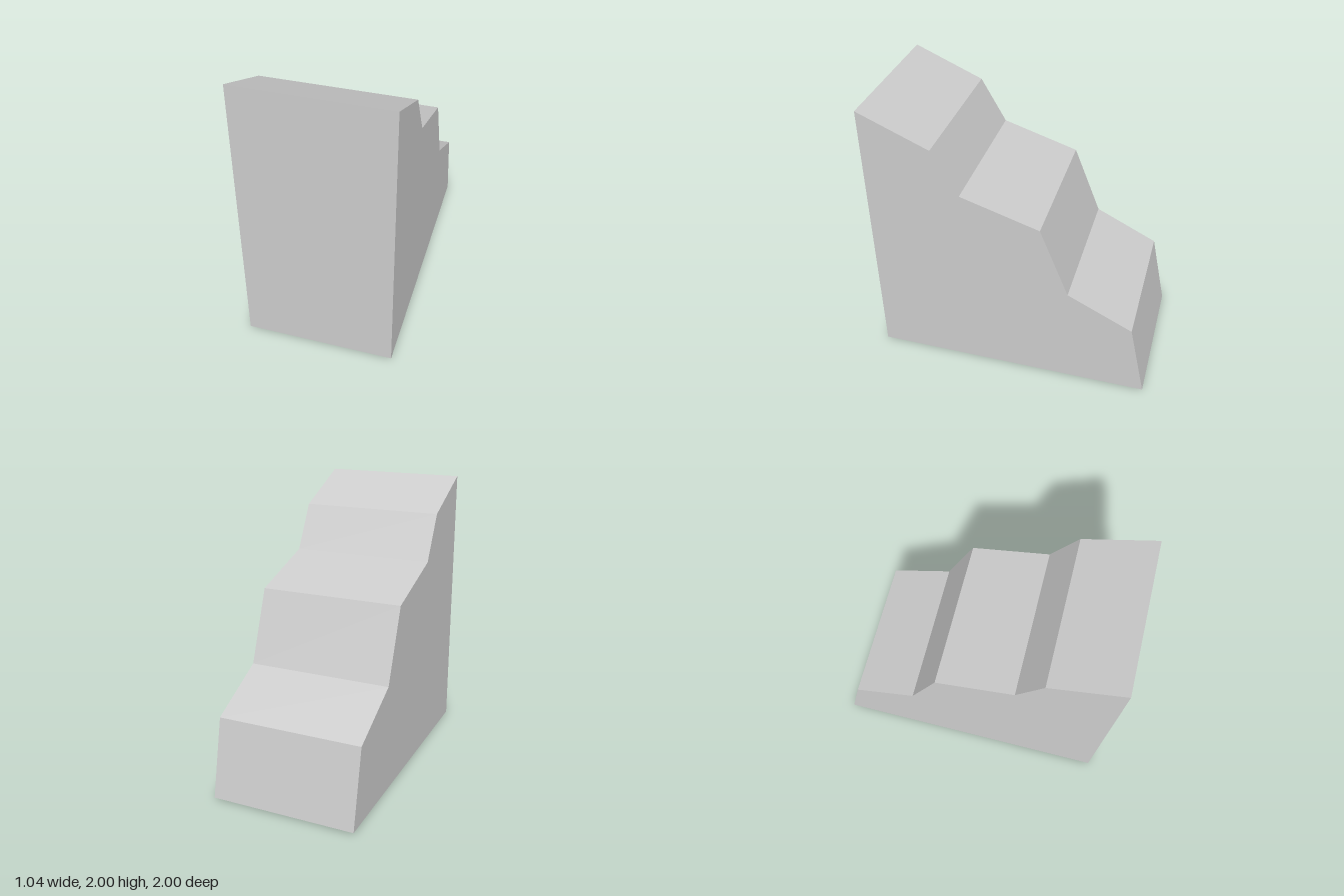
import * as THREE from 'three';
import { mergeGeometries } from 'three/addons/utils/BufferGeometryUtils.js';

// Stepped side profiles as [z, y], from the front foot over the steps to the back foot
const OUTER = [[1, 0], [1, 2], [0.51, 1.79], [0.33, 1.47], [-0.22, 1.3], [-0.42, 0.79], [-0.88, 0.565], [-1, 0.01]];
const INNER = [[0.89, 0], [0.89, 1.83], [0.59, 1.7], [0.4, 1.38], [-0.14, 1.21], [-0.33, 0.71], [-0.82, 0.47], [-0.92, 0]];
const OUTER_HALF = 0.52;
const INNER_HALF = 0.4;

// Flat-shaded quads, corners counter-clockwise from outside
function quads(list) {
  const pos = [];
  for (const [a, b, c, d] of list) pos.push(...a, ...b, ...c, ...a, ...c, ...d);
  const geo = new THREE.BufferGeometry();
  geo.setAttribute('position', new THREE.Float32BufferAttribute(pos, 3));
  geo.computeVertexNormals();
  return geo;
}

// Strip of treads and risers along a profile; a negative half width faces inward
function steps(profile, w) {
  const list = [];
  for (let i = 0; i < profile.length - 1; i++) {
    const [z0, y0] = profile[i], [z1, y1] = profile[i + 1];
    list.push([[-w, y0, z0], [w, y0, z0], [w, y1, z1], [-w, y1, z1]]);
  }
  return quads(list);
}

// Flat side wall at x, facing +x or -x
function side(profile, x, facing) {
  const shape = new THREE.Shape(profile.map(([z, y]) => new THREE.Vector2(-facing * z, y)));
  const geo = new THREE.ShapeGeometry(shape).toNonIndexed();
  geo.deleteAttribute('uv');
  return geo.rotateY(facing * Math.PI / 2).translate(x, 0, 0);
}

// Underside rim joining the outer skin to the hollow
function rim() {
  const corners = (profile, w) => {
    const [zf, yf] = profile[0], [zb, yb] = profile[profile.length - 1];
    return [[-w, yf, zf], [w, yf, zf], [w, yb, zb], [-w, yb, zb]];
  };
  const o = corners(OUTER, OUTER_HALF), n = corners(INNER, INNER_HALF);
  return quads(o.map((p, i) => {
    const j = (i + 1) % 4;
    return [o[j], p, n[i], n[j]];
  }));
}

export function createModel() {
  const group = new THREE.Group();
  group.name = 'hollowSteps';
  const material = new THREE.MeshStandardMaterial({ color: 0xcccccc, flatShading: true });
  const add = (name, geo) => {
    const mesh = new THREE.Mesh(geo, material);
    mesh.name = name;
    group.add(mesh);
  };

  add('outerSteps', steps(OUTER, OUTER_HALF));
  add('outerSides', mergeGeometries([1, -1].map((s) => side(OUTER, s * OUTER_HALF, s))));
  add('innerSteps', steps(INNER, -INNER_HALF));
  add('innerSides', mergeGeometries([1, -1].map((s) => side(INNER, s * INNER_HALF, -s))));
  add('bottomRim', rim());
  return group;
}
